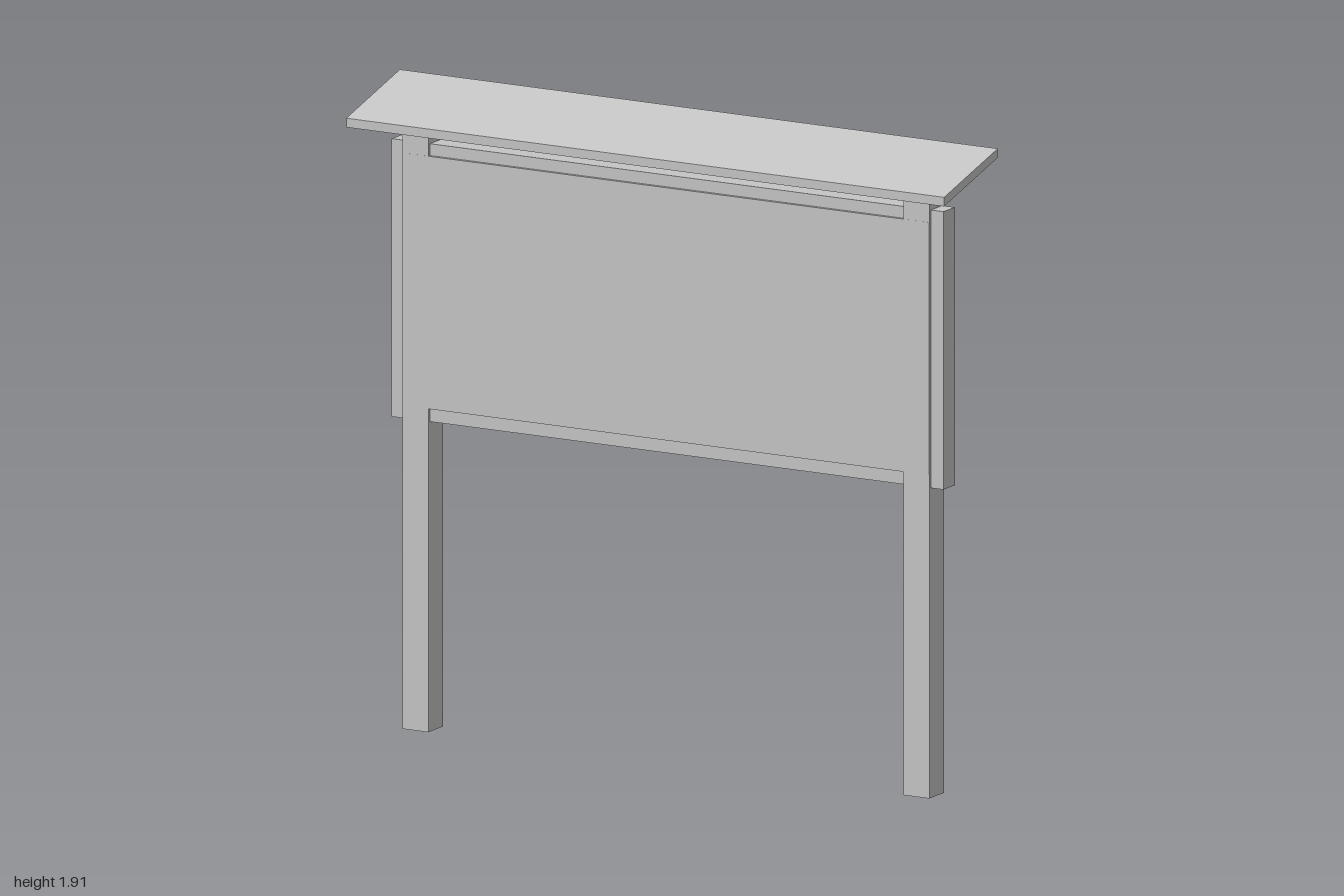
import * as THREE from 'three';

const SLOPE = 0.268; // roof rise per unit of depth, towards the back
const roofBottom = (z) => 1.837 - SLOPE * z;

export function createModel() {
  const model = new THREE.Group();
  const grey = new THREE.MeshStandardMaterial({ color: 0xc4c4c4 });
  grey.name = 'light grey';

  // Prism along x from a side profile of [z, y] points
  function prism(name, profile, x0, x1) {
    const shape = new THREE.Shape(profile.map(([z, y]) => new THREE.Vector2(-z, y)));
    const geo = new THREE.ExtrudeGeometry(shape, { depth: x1 - x0, bevelEnabled: false });
    geo.rotateY(Math.PI / 2).translate(x0, 0, 0);
    const mesh = new THREE.Mesh(geo, grey);
    mesh.name = name;
    model.add(mesh);
  }
  const rect = (z0, z1, y0, y1) => [[z1, y0], [z0, y0], [z0, y1], [z1, y1]];

  // Posts, with tops cut to the roof slope
  for (const [name, x] of [['rightPost', -0.881], ['leftPost', 0.795]]) {
    prism(name, [
      [0.035, 0], [-0.05, 0], [-0.05, roofBottom(-0.05)], [0.035, roofBottom(0.035)],
    ], x, x + 0.086);
  }

  // Board, and the raised display face flush with the posts
  prism('board', rect(-0.04, 0.025, 0.92, 1.745), -0.923, 0.923);
  prism('displayFace', rect(0.02, 0.0355, 0.96, 1.71), -0.881, 0.881);

  // Sloping roof slab with upright edges
  const d = 0.154;
  prism('roof', [
    [d, roofBottom(d)], [-d, roofBottom(-d)],
    [-d, roofBottom(-d) + 0.027], [d, roofBottom(d) + 0.027],
  ], -1, 1);

  return model;
}
